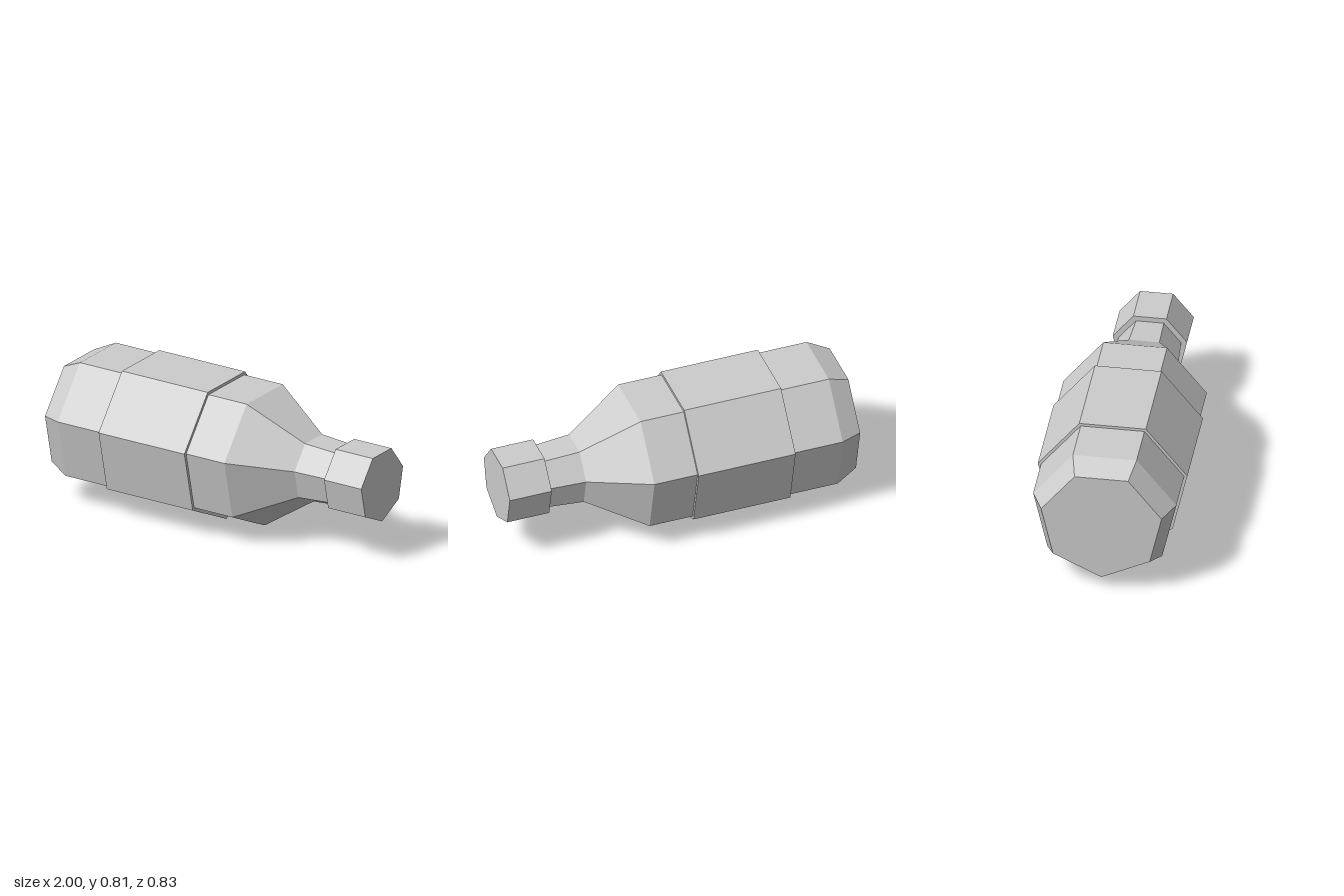
import * as THREE from 'three';

const SIDES = 7;
const AXIS_Y = 0.4255;

// Seven-sided turned part along x, with one corner pointing straight down.
// The profile is a list of [x, radius] running from the base to the cap.
function turned(name, profile, material) {
  const points = profile.map(([x, r]) => new THREE.Vector2(r, x));
  const geometry = new THREE.LatheGeometry(points, SIDES, Math.PI / 2);
  geometry.rotateZ(-Math.PI / 2);
  const mesh = new THREE.Mesh(geometry, material);
  mesh.name = name;
  mesh.position.y = AXIS_Y;
  return mesh;
}

export function createModel() {
  const grey = new THREE.MeshStandardMaterial({ color: 0xcccccc });
  grey.name = 'light grey';
  grey.flatShading = true;

  const bottle = new THREE.Group();
  bottle.name = 'bottle';

  // Body: flat base, chamfer, straight wall, shoulder and neck
  bottle.add(turned('body', [
    [-1, 0], [-1, 0.343], [-0.875, 0.4075], [0.225, 0.4075],
    [0.548, 0.194], [0.755, 0.178],
  ], grey));

  // Label: thin sleeve around the body
  bottle.add(turned('label', [
    [-0.593, 0.4], [-0.593, 0.4255], [-0.027, 0.4255], [-0.027, 0.4],
  ], grey));

  // Cap: closed at both ends
  bottle.add(turned('cap', [
    [0.755, 0], [0.755, 0.2115], [1, 0.2115], [1, 0],
  ], grey));

  return bottle;
}
